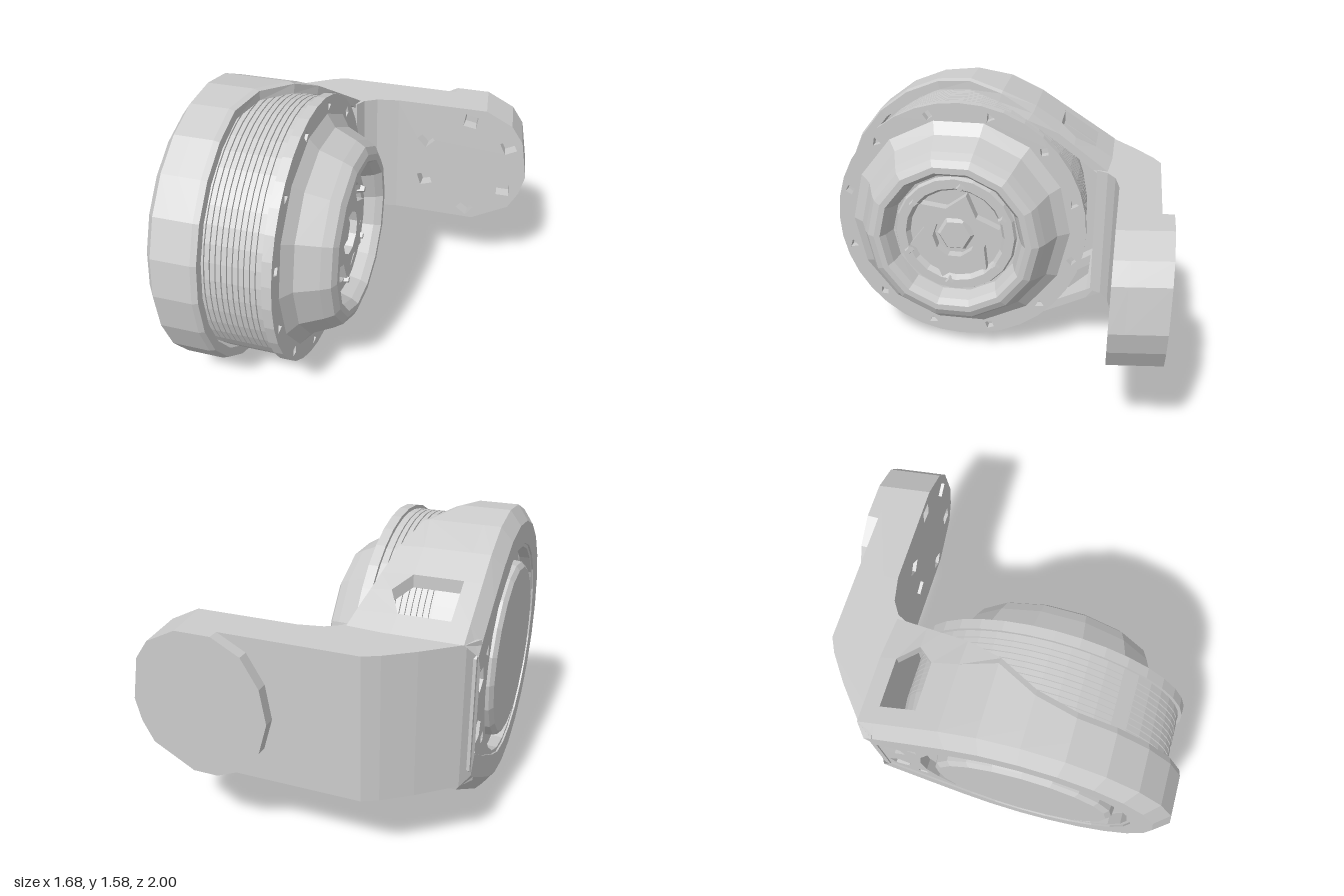
import * as THREE from 'three';

const material = new THREE.MeshStandardMaterial({ color: 0xcccccc, flatShading: true, side: THREE.DoubleSide });
const CY = 0.795, CZ = 0.19; // drum axis runs along x through this point

function add(parent, name, geometry) {
  const mesh = new THREE.Mesh(geometry, material);
  mesh.name = name;
  parent.add(mesh);
  return mesh;
}

const toShape = (pts) => new THREE.Shape(pts.map(([x, y]) => new THREE.Vector2(x, y)));

const polygon = (cx, cy, r, n, turn = 0) => Array.from({ length: n }, (_, i) => {
  const a = turn + (i / n) * Math.PI * 2;
  return [cx + r * Math.cos(a), cy + r * Math.sin(a)];
});

function plate(outline, holes, depth) {
  const shape = toShape(outline);
  shape.holes = holes.map(toShape);
  return new THREE.ExtrudeGeometry(shape, { depth, bevelEnabled: false });
}

// Plate facing along x: outline is given as (-z, y), starting at x0
const sidePlate = (outline, holes, x0, x1) => plate(outline, holes, x1 - x0).rotateY(Math.PI / 2).translate(x0, 0, 0);

// Turned part about the x axis, profile given as [x, radius]
const turned = (profile, sides) =>
  new THREE.LatheGeometry(profile.map(([x, r]) => new THREE.Vector2(r, x)), sides).rotateZ(-Math.PI / 2);

function ringOfHoles(count, radius, size, turn) {
  return polygon(0, 0, radius, count, turn).map(([x, y], i) => polygon(x, y, size, 3 + (i % 2), i));
}

// Leans the outer end of the arm inwards towards the back
function leanEnd(geometry) {
  const p = geometry.attributes.position;
  for (let i = 0; i < p.count; i++) {
    if (p.getX(i) > 0.5) p.setX(i, p.getX(i) + (p.getZ(i) + 0.72) * 0.13);
  }
  return geometry;
}

// Stations around the housing: an arc, then straight cheeks running to the arm
const R = 0.79, SWEEP = THREE.MathUtils.degToRad(122);

function housingEdge(z) { // right-hand edge of the wall
  const knots = [[0.0, -0.53], [-0.04, -0.44], [-0.39, -0.31], [-0.86, -0.19]];
  if (z > -0.005) return -0.53;
  for (let i = 1; i < knots.length; i++) {
    const [z0, x0] = knots[i - 1], [z1, x1] = knots[i];
    if (z >= z1) return x0 + (x1 - x0) * (z - z0) / (z1 - z0);
  }
  return -0.19;
}

function housingStations() {
  const half = [];
  for (let i = 0; i <= 8; i++) {
    const a = (SWEEP * i) / 8, z = R * Math.cos(a);
    half.push({ z, y: R * Math.sin(a), nz: Math.cos(a), ny: Math.sin(a), slot: housingEdge(z) - 0.03 });
  }
  const t0 = half[8];
  t0.slot = -0.43;
  // the window stations are cut straight down
  for (const [t, slot, open] of [[0.33, -0.43, true], [0.53, -0.35, true], [0.78, -0.42, false], [1, -0.42, false]]) {
    half.push({
      z: t0.z + (-0.87 - t0.z) * t, y: t0.y + (0.386 - t0.y) * t,
      nz: t < 1 ? 0 : t0.nz, ny: t < 1 ? 1.1 : t0.ny, slot, open,
    });
  }
  const mirrored = half.slice(1).reverse().map((s, i, all) => ({
    ...s, y: -s.y, ny: -s.ny, open: !!(all[i + 1] && all[i + 1].open),
  }));
  return [...mirrored, ...half];
}

function housingWall(stations) {
  const rings = stations.map((s) => {
    const e = housingEdge(s.z);
    return [[e, 0.01], [s.slot, 0], [-0.68, 0], [-0.77, 0], [-0.83, 0.08], [-0.83, 0.2], [-0.77, 0.2],
      [-0.77, 0.06], [-0.68, 0.06], [s.slot, 0.06], [e, 0.06]]
      .map(([x, d]) => [x, s.y - s.ny * d, s.z - s.nz * d]);
  });
  const pos = [];
  const quad = (a, b, c, d) => pos.push(...a, ...b, ...c, ...a, ...c, ...d);
  for (let i = 0; i < rings.length - 1; i++) {
    const A = rings[i], B = rings[i + 1], open = stations[i].open;
    for (let j = 0; j < A.length; j++) {
      if (open && (j === 1 || j === 8)) continue; // window through the cheek
      const k = (j + 1) % A.length;
      quad(A[j], A[k], B[k], B[j]);
    }
    if (open) { // reveals of the window
      quad(A[1], B[1], B[9], A[9]);
      quad(A[2], A[8], B[8], B[2]);
      if (!stations[i - 1].open) quad(A[1], A[9], A[8], A[2]);
      if (!stations[i + 1].open) quad(B[1], B[2], B[8], B[9]);
    }
  }
  const g = new THREE.BufferGeometry();
  g.setAttribute('position', new THREE.Float32BufferAttribute(pos, 3));
  g.computeVertexNormals();
  return g;
}

function createHousing() {
  const housing = new THREE.Group();
  housing.name = 'housing';
  housing.position.set(0, CY, 0.205);
  const stations = housingStations();
  add(housing, 'housingWall', housingWall(stations));
  // side plate with a round opening, screw pits and pockets by the arm
  const outline = stations.map((s) => [-(s.z - s.nz * 0.1), s.y - s.ny * 0.1]);
  const pits = ringOfHoles(8, 0.63, 0.035, 0.39);
  const pockets = [-1, 1].map((s) => polygon(0.7, s * 0.14, 0.065, 5, s));
  add(housing, 'sidePlate', sidePlate(outline, [polygon(0, 0, 0.57, 24), ...pits, ...pockets], -0.82, -0.76));
  add(housing, 'pocketFloor', new THREE.BoxGeometry(0.03, 0.5, 0.18)).position.set(-0.74, 0, -0.71);
  add(housing, 'sideCover', turned([[-0.7, 0.5], [-0.82, 0.485], [-0.84, 0.46], [-0.84, 0]], 20));
  return housing;
}

function createDrum() {
  const drum = new THREE.Group();
  drum.name = 'drum';
  drum.position.set(0, CY, CZ);
  // grooved barrel
  const profile = [[-0.73, 0], [-0.73, 0.66], [-0.7, 0.7], [-0.54, 0.72]];
  for (let i = 0; i < 10; i++) {
    const x = -0.53 + i * 0.03;
    profile.push([x, 0.72], [x + 0.001, 0.71], [x + 0.005, 0.71], [x + 0.006, 0.72]);
  }
  profile.push([-0.22, 0.72], [-0.21, 0.6]);
  add(drum, 'groovedBarrel', turned(profile, 48));
  // flange with screw pits
  const flangeHoles = [polygon(0, 0, 0.5, 24), ...ringOfHoles(12, 0.685, 0.03, Math.PI / 12)];
  add(drum, 'flange', sidePlate(polygon(0, 0, 0.74, 36), flangeHoles, -0.22, -0.168));
  // faceted cap with a bowl in its face
  add(drum, 'cap', turned([[-0.17, 0.65], [-0.12, 0.58], [0.0, 0.525], [0.05, 0.495], [0.07, 0.455],
    [0.07, 0.42], [0.03, 0.395], [-0.05, 0.37], [-0.06, 0.3], [-0.06, 0]], 14));
  add(drum, 'bowlRing', turned([[-0.06, 0.36], [-0.025, 0.345], [-0.025, 0.29], [-0.06, 0.27]], 20));
  // star-shaped hub with a sunken centre
  const star = Array.from({ length: 12 }, (_, i) => {
    const a = (i / 12) * Math.PI * 2 + 0.25, r = i % 2 ? 0.18 : 0.27;
    return [r * Math.cos(a), r * Math.sin(a)];
  });
  add(drum, 'starHub', sidePlate(star, [polygon(0, 0, 0.125, 10)], -0.06, 0.0));
  add(drum, 'hubCentre', turned([[-0.06, 0.11], [-0.03, 0.09], [-0.03, 0]], 6));
  polygon(0, 0, 0.3, 6, 0.4).forEach(([u, v]) => {
    const screw = add(drum, 'hubScrew', new THREE.CylinderGeometry(0.018, 0.03, 0.04, 4).rotateZ(-Math.PI / 2));
    screw.position.set(-0.02, v, -u);
  });
  return drum;
}

function createArm() {
  const arm = new THREE.Group();
  arm.name = 'arm';
  // bent arm, outlined from above as (x, -z)
  const bend = [[-0.83, 0.57], [-0.72, 0.61], [-0.2, 0.59], [-0.17, 0.65], [-0.1, 0.695], [0.03, 0.72], [0.03, 0.8],
    [0.4, 0.8], [0.4, 0.94], [-0.38, 0.94], [-0.46, 0.9], [-0.6, 0.8], [-0.78, 0.65]];
  add(arm, 'bentArm', plate(bend, [], 0.76).rotateX(-Math.PI / 2)).position.y = 0.42;
  // mounting face with a rounded end and screw recesses
  const end = [[0.53, 0.42], [0.75, 0.54], [0.81, 0.65], [0.84, 0.77], [0.8, 1.0], [0.73, 1.1], [0.57, 1.18]];
  const recesses = [[0.21, 0.94], [0.21, 0.66], [0.48, 1.1], [0.48, 0.49], [0.72, 0.96], [0.71, 0.66]]
    .map(([x, y], i) => polygon(x, y, 0.055, 4, i * 1.1));
  const face = plate([[0.02, 0.42], ...end, [0.02, 1.18]], recesses, 0.08).translate(0, 0, -0.8);
  add(arm, 'mountingFace', leanEnd(face));
  // round pad on the back of the arm
  const round = [...end, [0.34, 1.18], [0.19, 1.1], [0.1, 0.95], [0.07, 0.77], [0.12, 0.6], [0.24, 0.47], [0.36, 0.42]];
  add(arm, 'mountingPad', leanEnd(plate(round, [], 0.2).translate(0, 0, -1)));
  return arm;
}

export function createModel() {
  const model = new THREE.Group();
  model.name = 'drumOnArm';
  model.add(createHousing(), createDrum(), createArm());
  return model;
}
